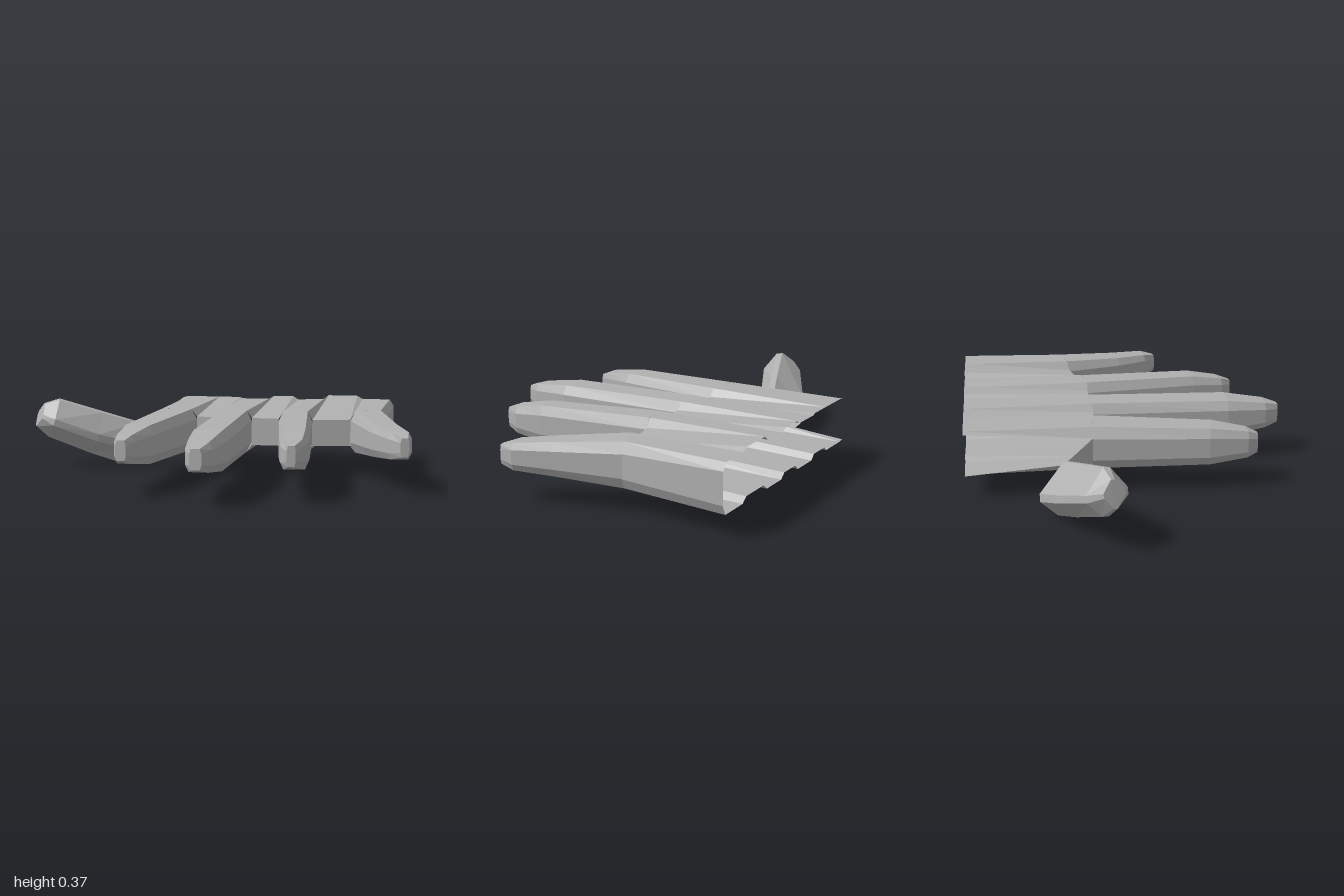
import * as THREE from 'three';

const grey = new THREE.MeshStandardMaterial({ color: 0xb0b0b0, side: THREE.DoubleSide });
grey.name = 'grey';

// Faceted surface through rows of points; optionally closed round and capped at the end
function loft(name, rows, closed = false, cap = false) {
  const n = rows[0].length, pos = rows.flat(2), idx = [];
  for (let r = 0; r < rows.length - 1; r++) {
    for (let i = 0; i < (closed ? n : n - 1); i++) {
      const a = r * n + i, b = r * n + (i + 1) % n;
      idx.push(a, b, b + n, a, b + n, a + n);
    }
  }
  if (cap) {
    const s = (rows.length - 1) * n;
    for (let i = 1; i < n - 1; i++) idx.push(s, s + i, s + i + 1);
  }
  const indexed = new THREE.BufferGeometry();
  indexed.setAttribute('position', new THREE.Float32BufferAttribute(pos, 3));
  indexed.setIndex(idx);
  const geo = indexed.toNonIndexed();
  geo.computeVertexNormals();
  const mesh = new THREE.Mesh(geo, grey);
  mesh.name = name;
  return mesh;
}

const mix = (p, q, t) => p.map((v, i) => v + (q[i] - v) * t);

// Four corners become an eight-sided section; u cuts edges 0-1 and 2-3, v the others
function chamfer(c, u, v) {
  const out = [];
  for (let i = 0; i < 4; i++) {
    const prev = c[(i + 3) % 4], next = c[(i + 1) % 4];
    out.push(mix(c[i], prev, i % 2 ? u : v), mix(c[i], next, i % 2 ? v : u));
  }
  return out;
}

// Finger stations: [left x, left z, right x, right z, bottom, top]
function finger(name, stations) {
  const rows = stations.map(([xa, za, xb, zb, y0, y1]) =>
    chamfer([[xa, y0, za], [xb, y0, zb], [xb, y1, zb], [xa, y1, za]], 0.14, 0.24));
  return loft(name, rows, true, true);
}

export function createModel() {
  const hand = new THREE.Group();
  hand.name = 'hand';

  // Four fingers
  hand.add(finger('indexFinger', [
    [-0.335, -0.19, -0.12, -0.17, 0.115, 0.328],
    [-0.37, 0.37, -0.205, 0.4, 0.125, 0.31],
    [-0.355, 0.56, -0.255, 0.56, 0.15, 0.285],
    [-0.335, 0.61, -0.285, 0.61, 0.17, 0.265]]));
  hand.add(finger('middleFinger', [
    [-0.01, -0.16, 0.17, -0.16, 0.115, 0.328],
    [-0.01, 0.53, 0.175, 0.53, 0.125, 0.312],
    [0.02, 0.73, 0.145, 0.73, 0.15, 0.285],
    [0.055, 0.8, 0.11, 0.8, 0.17, 0.265]]));
  hand.add(finger('ringFinger', [
    [0.31, -0.16, 0.48, -0.18, 0.115, 0.328],
    [0.395, 0.42, 0.535, 0.4, 0.125, 0.312],
    [0.425, 0.58, 0.535, 0.55, 0.15, 0.285],
    [0.46, 0.63, 0.5, 0.625, 0.17, 0.265]]));
  hand.add(finger('littleFinger', [
    [0.67, -0.23, 0.845, -0.29, 0.115, 0.33],
    [0.79, 0.06, 0.935, 0.02, 0.14, 0.3],
    [0.88, 0.22, 0.995, 0.2, 0.155, 0.285],
    [0.945, 0.28, 0.985, 0.27, 0.175, 0.265]]));

  // Palm section: [front x, front z, front bottom, front top, back x, back bottom, back top]
  const palm = [
    [-0.335, -0.19, 0.16, 0.28, -0.335, 0.115, 0.325],
    [-0.305, -0.19, 0.115, 0.328, -0.305, 0.11, 0.332],
    [-0.15, -0.17, 0.115, 0.328, -0.15, 0.11, 0.332],
    [-0.12, -0.17, 0.15, 0.29, -0.125, 0.13, 0.332],
    [-0.01, -0.16, 0.15, 0.29, -0.01, 0.13, 0.332],
    [0.015, -0.16, 0.115, 0.328, 0.015, 0.105, 0.325],
    [0.145, -0.16, 0.115, 0.328, 0.16, 0.105, 0.325],
    [0.17, -0.16, 0.15, 0.29, 0.19, 0.13, 0.342],
    [0.31, -0.16, 0.15, 0.29, 0.3, 0.13, 0.342],
    [0.335, -0.16, 0.115, 0.328, 0.33, 0.105, 0.325],
    [0.455, -0.18, 0.115, 0.328, 0.47, 0.105, 0.33],
    [0.48, -0.18, 0.15, 0.285, 0.5, 0.13, 0.352],
    [0.67, -0.23, 0.15, 0.285, 0.66, 0.13, 0.352],
    [0.695, -0.24, 0.115, 0.33, 0.69, 0.105, 0.335],
    [0.82, -0.28, 0.115, 0.33, 0.84, 0.105, 0.335],
    [0.845, -0.29, 0.165, 0.28, 0.862, 0.15, 0.3]];
  const sheet = side => [
    palm.map(p => [p[0], p[2 + side], p[1]]),
    palm.map(p => [p[4], p[5 + side], -0.8])];
  const back = sheet(1), under = sheet(0), last = palm.length - 1;
  hand.add(loft('backOfHand', back), loft('palm', under));

  // Outer side of the palm
  hand.add(loft('palmSide', [
    [under[0][last], under[1][last]], [back[0][last], back[1][last]]]));

  // Front walls between the fingers
  for (const i of [3, 7, 11]) {
    hand.add(loft('fingerGap', [
      [under[0][i], under[0][i + 1]], [back[0][i], back[0][i + 1]]]));
  }

  // Thumb, turned about its own length, open at the wrist end
  const thumbRows = [
    [[-0.475, 0.255, -0.32], [-0.47, 0.095, -0.275], [-0.575, -0.014, -0.355], [-0.58, 0.095, -0.475]],
    [[-0.655, 0.315, -0.25], [-0.655, 0.155, -0.165], [-0.745, 0.055, -0.28], [-0.74, 0.16, -0.415]],
    [[-0.865, 0.383, -0.18], [-0.865, 0.245, -0.068], [-0.945, 0.15, -0.19], [-0.95, 0.25, -0.285]],
    [[-0.945, 0.35, -0.16], [-0.935, 0.275, -0.095], [-1.0, 0.215, -0.15], [-1.004, 0.29, -0.21]],
  ].map(c => chamfer(c, 0.16, 0.12));
  hand.add(loft('thumb', thumbRows, true, true));

  // Web joining the thumb to the index finger
  hand.add(loft('thumbWeb', [
    [[-0.48, 0.235, -0.315], [-0.48, 0.11, -0.285]],
    [[-0.335, 0.28, -0.19], [-0.335, 0.15, -0.19]]]));
  return hand;
}
